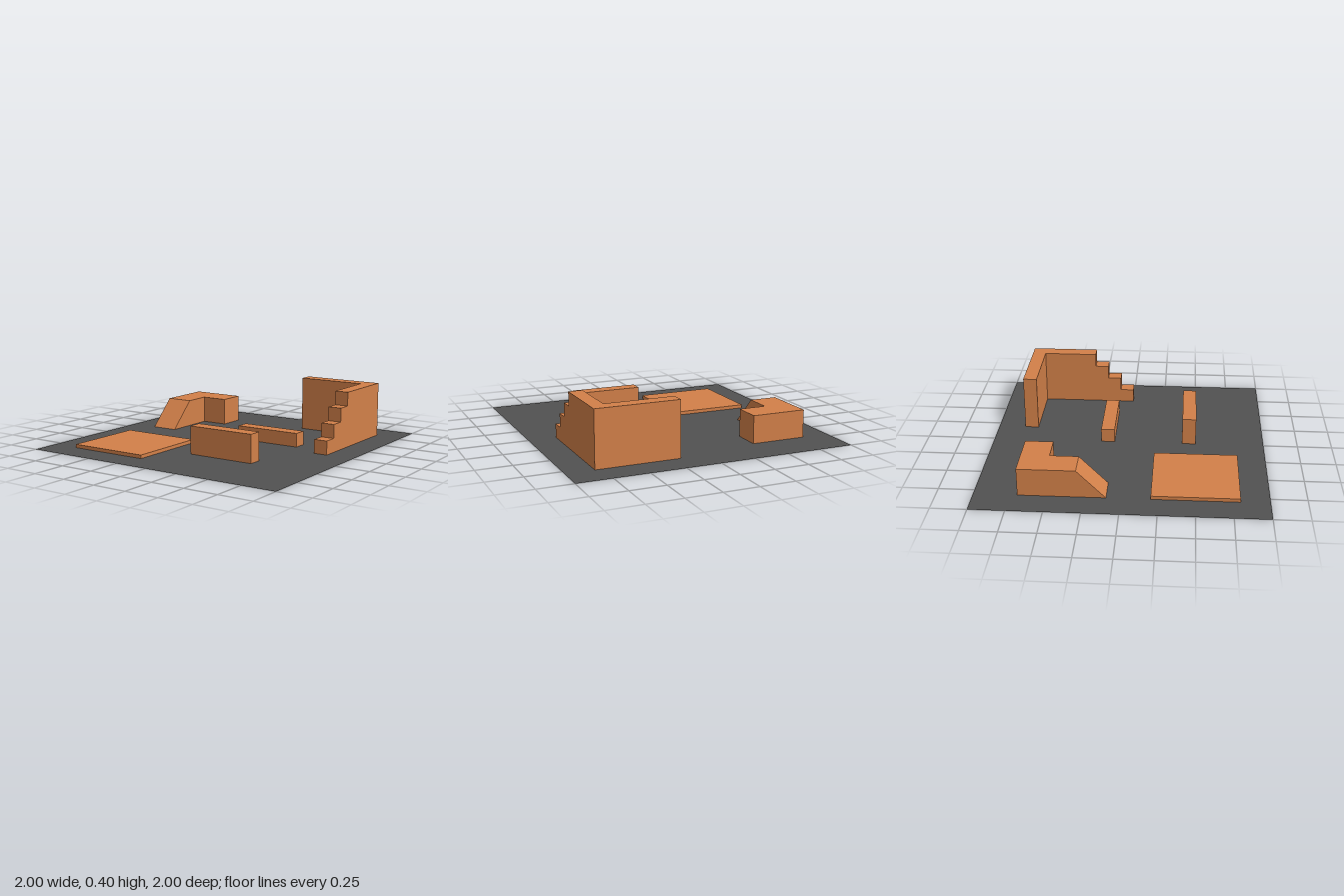
import * as THREE from 'three';
import { mergeGeometries } from 'three/addons/utils/BufferGeometryUtils.js';

const orange = new THREE.MeshStandardMaterial({ color: 0xd28049, side: THREE.DoubleSide });
orange.name = 'orange';
const grey = new THREE.MeshStandardMaterial({ color: 0x515151, side: THREE.DoubleSide });
grey.name = 'darkGrey';

// Closed outline from [x, z] points, as seen from above
const outline = (pts) => pts.map(([x, z]) => new THREE.Vector2(x, -z));

// Horizontal face at height y, with optional holes
function plan(pts, y, holes = []) {
  const shape = new THREE.Shape(outline(pts));
  for (const h of holes) shape.holes.push(new THREE.Path(outline(h)));
  return new THREE.ShapeGeometry(shape).rotateX(-Math.PI / 2).translate(0, y, 0);
}

// Upright face at x from [z, y] points, facing +x (dir 1) or -x (dir -1)
function profile(x, pts, dir) {
  const shape = new THREE.Shape(pts.map(([z, y]) => new THREE.Vector2(-dir * z, y)));
  return new THREE.ShapeGeometry(shape).rotateY(dir * Math.PI / 2).translate(x, 0, 0);
}

// Four corners, counterclockwise from the front
function quad(a, b, c, d) {
  const g = new THREE.BufferGeometry();
  g.setAttribute('position', new THREE.Float32BufferAttribute([...a, ...b, ...c, ...d], 3));
  g.setIndex([0, 1, 2, 0, 2, 3]);
  g.computeVertexNormals();
  return g;
}

// Upright walls from the ground along a path of [x, z] points
const walls = (path, h) => path.slice(1).map(([x1, z1], i) => {
  const [x0, z0] = path[i];
  return quad([x0, 0, z0], [x1, 0, z1], [x1, h, z1], [x0, h, z0]);
});

// Faces between x0 and x1 following [z, y] points (risers, treads, slopes)
const sweep = (x0, x1, path) => path.slice(1).map(([z1, y1], i) => {
  const [z0, y0] = path[i];
  return quad([x0, y0, z0], [x1, y0, z0], [x1, y1, z1], [x0, y1, z1]);
});

const rect = (x0, x1, z0, z1) => [[x0, z1], [x1, z1], [x1, z0], [x0, z0]];

function part(name, faces, material) {
  faces.forEach((g) => g.deleteAttribute('uv'));
  const mesh = new THREE.Mesh(mergeGeometries(faces), material);
  mesh.name = name;
  return mesh;
}

export function createModel() {
  const group = new THREE.Group();
  group.name = 'skatePark';
  const holes = [];

  // Plain blocks: hollow, open to the underside of the ground
  const blocks = [
    ['lowPlatform', rect(-0.8, -0.2, 0.2, 0.8), 0.025],
    ['tallLedge', rect(0, 0.5, 0.4, 0.5), 0.2],
    ['lowLedge', rect(0, 0.5, -0.2, -0.1), 0.1],
  ];
  for (const [name, foot, h] of blocks) {
    group.add(part(name, [...walls([...foot, foot[0]], h), plan(foot, h)], orange));
    holes.push(foot);
  }

  // L-shaped block with a ramp at its front
  group.add(part('rampBlock', [
    plan([[-0.8, -0.3], [-0.6, -0.3], [-0.6, -0.5], [-0.4, -0.5], [-0.4, -0.7], [-0.8, -0.7]], 0.2),
    ...walls([[-0.6, -0.5], [-0.4, -0.5], [-0.4, -0.7], [-0.8, -0.7]], 0.2),
    profile(-0.8, [[-0.7, 0], [-0.1, 0], [-0.3, 0.2], [-0.7, 0.2]], -1),
    profile(-0.6, [[-0.5, 0], [-0.1, 0], [-0.3, 0.2], [-0.5, 0.2]], 1),
    ...sweep(-0.8, -0.6, [[-0.1, 0], [-0.3, 0.2]]),
  ], orange));
  holes.push([[-0.8, -0.1], [-0.6, -0.1], [-0.6, -0.5], [-0.4, -0.5], [-0.4, -0.7], [-0.8, -0.7]]);

  // Corner wall that steps down toward the front
  const steps = [[0, 0]];
  for (let i = 0; i < 4; i++) {
    steps.push([-0.1 * i, 0.1 * (i + 1)]);
    if (i < 3) steps.push([-0.1 * (i + 1), 0.1 * (i + 1)]);
  }
  const corner = (front) => [[0.7, front], [0.8, front], [0.8, -0.8], [0.2, -0.8], [0.2, -0.7], [0.7, -0.7]];
  group.add(part('steppedWall', [
    plan(corner(-0.3), 0.4),
    ...walls(corner(0).slice(2), 0.4),
    profile(0.8, [...steps, [-0.8, 0.4], [-0.8, 0]], 1),
    profile(0.7, [...steps, [-0.7, 0.4], [-0.7, 0]], -1),
    ...sweep(0.7, 0.8, steps),
  ], orange));
  holes.push(corner(0));

  // Ground sheet, open beneath each obstacle
  group.add(part('ground', [plan(rect(-1, 1, -1, 1), 0, holes)], grey));
  return group;
}
